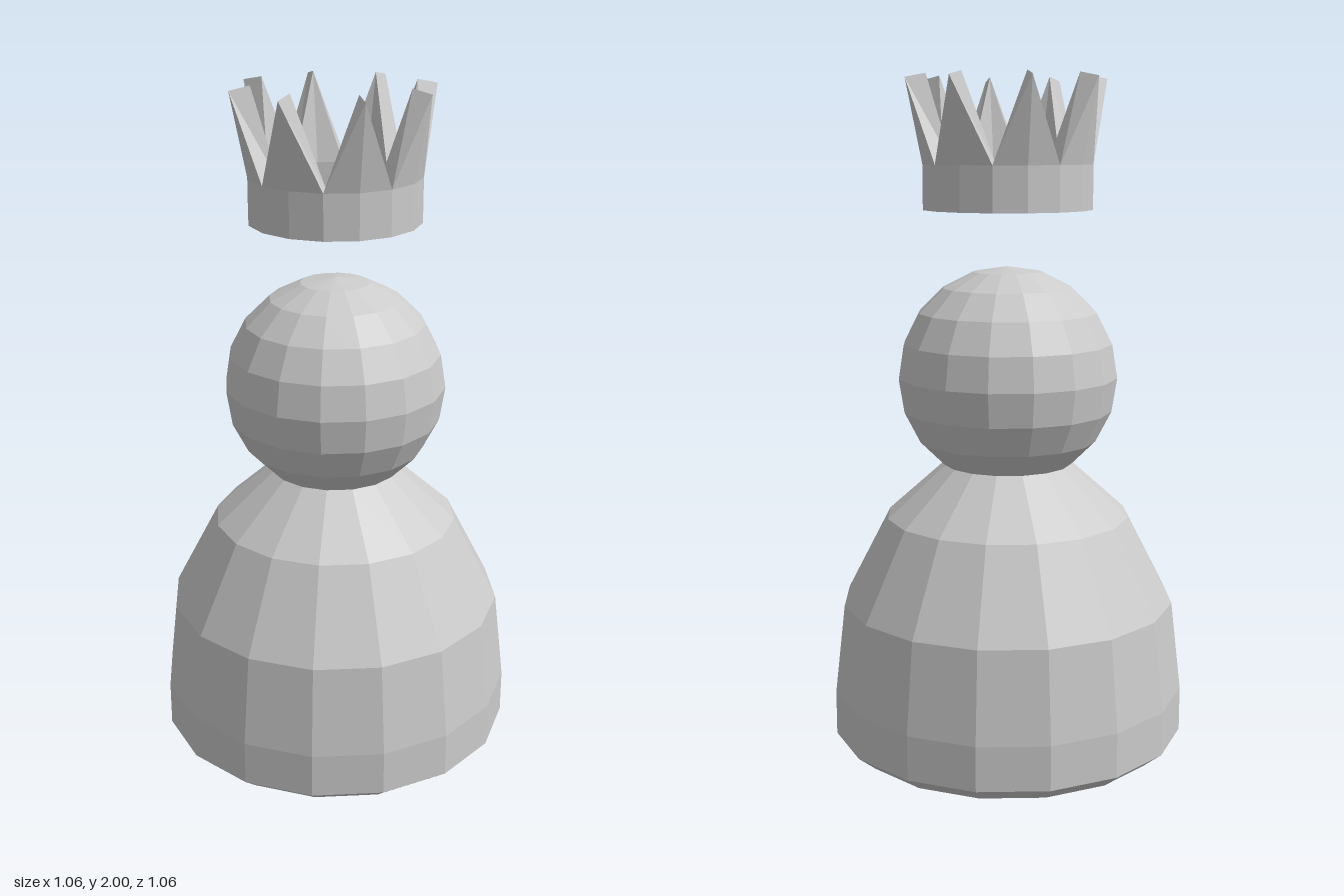
import * as THREE from 'three';

const SIDES = 16;
const material = new THREE.MeshStandardMaterial({ color: 0xcccccc, flatShading: true });

function lathe(name, profile) {
  const points = profile.map(([r, y]) => new THREE.Vector2(r, y));
  const mesh = new THREE.Mesh(new THREE.LatheGeometry(points, SIDES), material);
  mesh.name = name;
  return mesh;
}

// Hollow ring whose every second column rises into an outward-leaning point
function crownGeometry() {
  const section = (k) => {
    const point = k % 2 === 0;
    const loop = [
      [0.25, 1.615], [0.25, 1.745],
      point ? [0.298, 1.988] : [0.25, 1.745],
      point ? [0.238, 2.0] : [0.19, 1.745],
      [0.19, 1.745], [0.19, 1.615],
    ];
    const a = (k / SIDES) * Math.PI * 2;
    return loop.map(([r, y]) => new THREE.Vector3(r * Math.sin(a), y, r * Math.cos(a)));
  };
  const positions = [];
  const triangle = (a, b, c) => {
    // Skip the collapsed triangles in the valleys
    if (new THREE.Triangle(a, b, c).getArea() > 1e-7) {
      for (const v of [a, b, c]) positions.push(v.x, v.y, v.z);
    }
  };
  for (let k = 0; k < SIDES; k++) {
    const s = section(k), t = section((k + 1) % SIDES);
    for (let j = 0; j < s.length; j++) {
      const n = (j + 1) % s.length;
      triangle(s[j], t[j], t[n]);
      triangle(s[j], t[n], s[n]);
    }
  }
  const geometry = new THREE.BufferGeometry();
  geometry.setAttribute('position', new THREE.Float32BufferAttribute(positions, 3));
  geometry.computeVertexNormals();
  return geometry;
}

export function createModel() {
  const group = new THREE.Group();
  group.name = 'crownedPawn';

  // Bell-shaped body with a bevelled foot and slightly hollow underside
  group.add(lathe('body', [
    [0, 0.02], [0.25, 0.02], [0.476, 0], [0.531, 0.045], [0.531, 0.177],
    [0.5, 0.445], [0.365, 0.705], [0.19, 0.862],
  ]));

  // Ball head, cut off where it meets the neck
  const head = [];
  for (let i = 8; i >= 0; i--) {
    const a = (i / 10) * Math.PI;
    head.push([0.327 * Math.sin(a), 1.125 + 0.325 * Math.cos(a)]);
  }
  group.add(lathe('head', head));

  // Crown floating above the head
  const crown = new THREE.Mesh(crownGeometry(), material);
  crown.name = 'crown';
  group.add(crown);

  return group;
}
